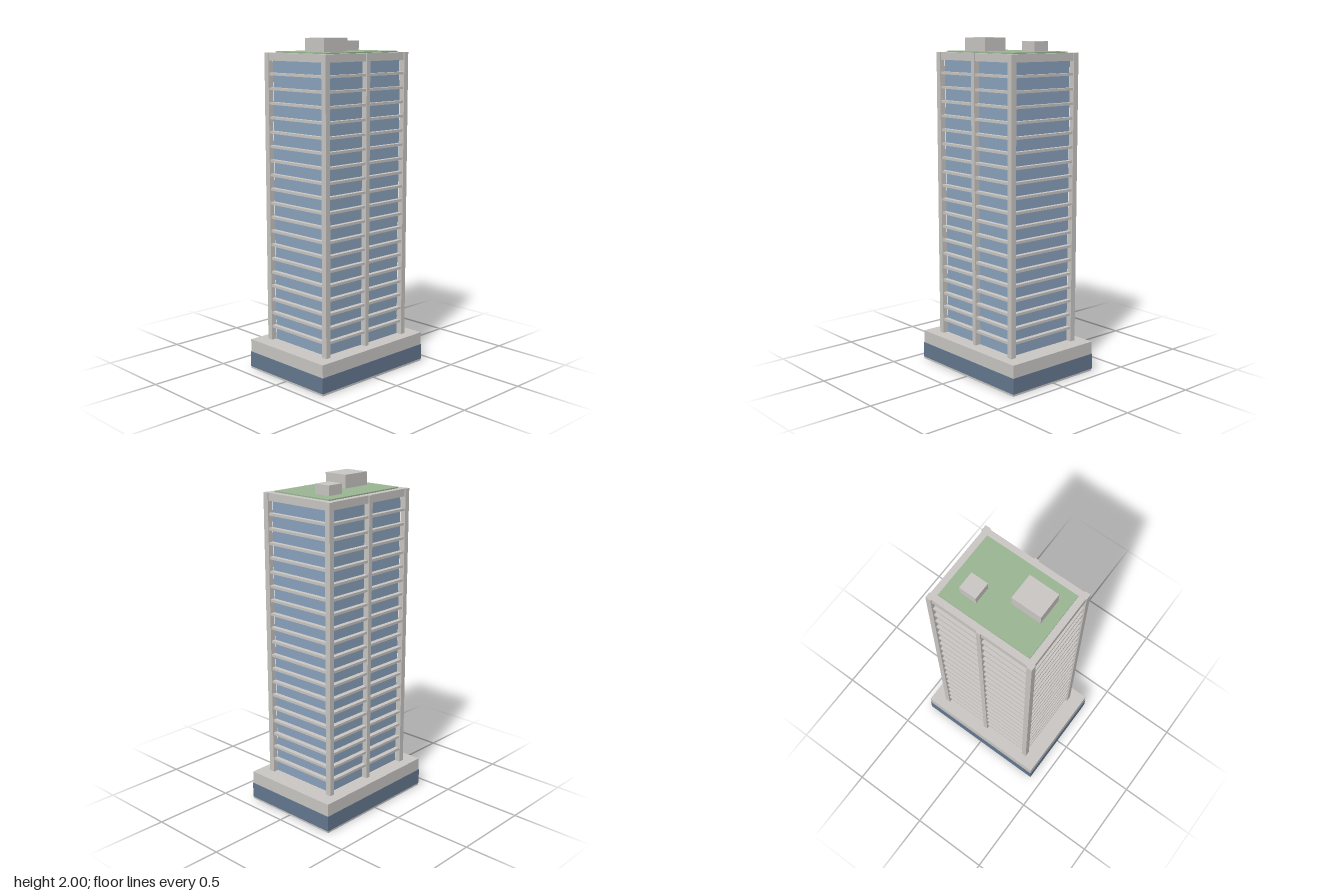
import * as THREE from 'three';

const mat = (name, color) => {
  const m = new THREE.MeshStandardMaterial({ color });
  m.name = name;
  return m;
};

export function createModel() {
  const concrete = mat('concrete', 0xc9c6c3);
  const glass = mat('window glass', 0x8aa2bd);
  const darkGlass = mat('podium glass', 0x64788f);
  const lawn = mat('roof lawn', 0x9ab593);

  const group = new THREE.Group();
  group.name = 'towerBlock';

  // Box given by its minimum and maximum along each axis
  const box = (name, material, [x0, x1], [y0, y1], [z0, z1]) => {
    const mesh = new THREE.Mesh(new THREE.BoxGeometry(x1 - x0, y1 - y0, z1 - z0), material);
    mesh.position.set((x0 + x1) / 2, (y0 + y1) / 2, (z0 + z1) / 2);
    mesh.name = name;
    group.add(mesh);
  };
  const span = (h) => [-h, h];
  const side = (s, a, b) => (s > 0 ? [a, b] : [-b, -a]);

  const podiumTop = 0.185, roofTop = 1.915;

  // Podium: thin plinth, dark glazed band, concrete deck
  box('plinth', concrete, span(0.422), [0, 0.013], span(0.318));
  box('podiumGlazing', darkGlass, span(0.425), [0.013, 0.108], span(0.32));
  box('podiumDeck', concrete, span(0.422), [0.108, podiumTop], span(0.318));

  // Recessed glazed core
  box('glazedCore', glass, span(0.302), [podiumTop, 1.88], span(0.221));

  // Floor slabs, and the deeper roof slab
  const floors = 20, pitch = 0.0846, firstSlab = 0.2626;
  for (let i = 0; i < floors - 1; i++) {
    const y = firstSlab + i * pitch;
    box('floorSlab', concrete, span(0.33), [y, y + 0.015], span(0.25));
  }
  box('roofSlab', concrete, span(0.33), [1.87, roofTop], span(0.25));

  // Corner columns and the middle columns of the long facades
  for (const sz of [-1, 1]) {
    for (const sx of [-1, 1]) {
      box('cornerColumn', concrete, side(sx, 0.303, 0.336), [podiumTop, roofTop], side(sz, 0.222, 0.257));
    }
    box('middleColumn', concrete, span(0.014), [podiumTop, roofTop], side(sz, 0.215, 0.257));
  }

  // Green roof with two plant rooms
  box('roofLawn', lawn, span(0.291), [roofTop, 1.922], span(0.211));
  box('largePlantRoom', concrete, [-0.225, -0.041], [roofTop, 2], [-0.028, 0.129]);
  box('smallPlantRoom', concrete, [0.105, 0.21], [roofTop, 1.98], [-0.133, -0.028]);

  return group;
}
